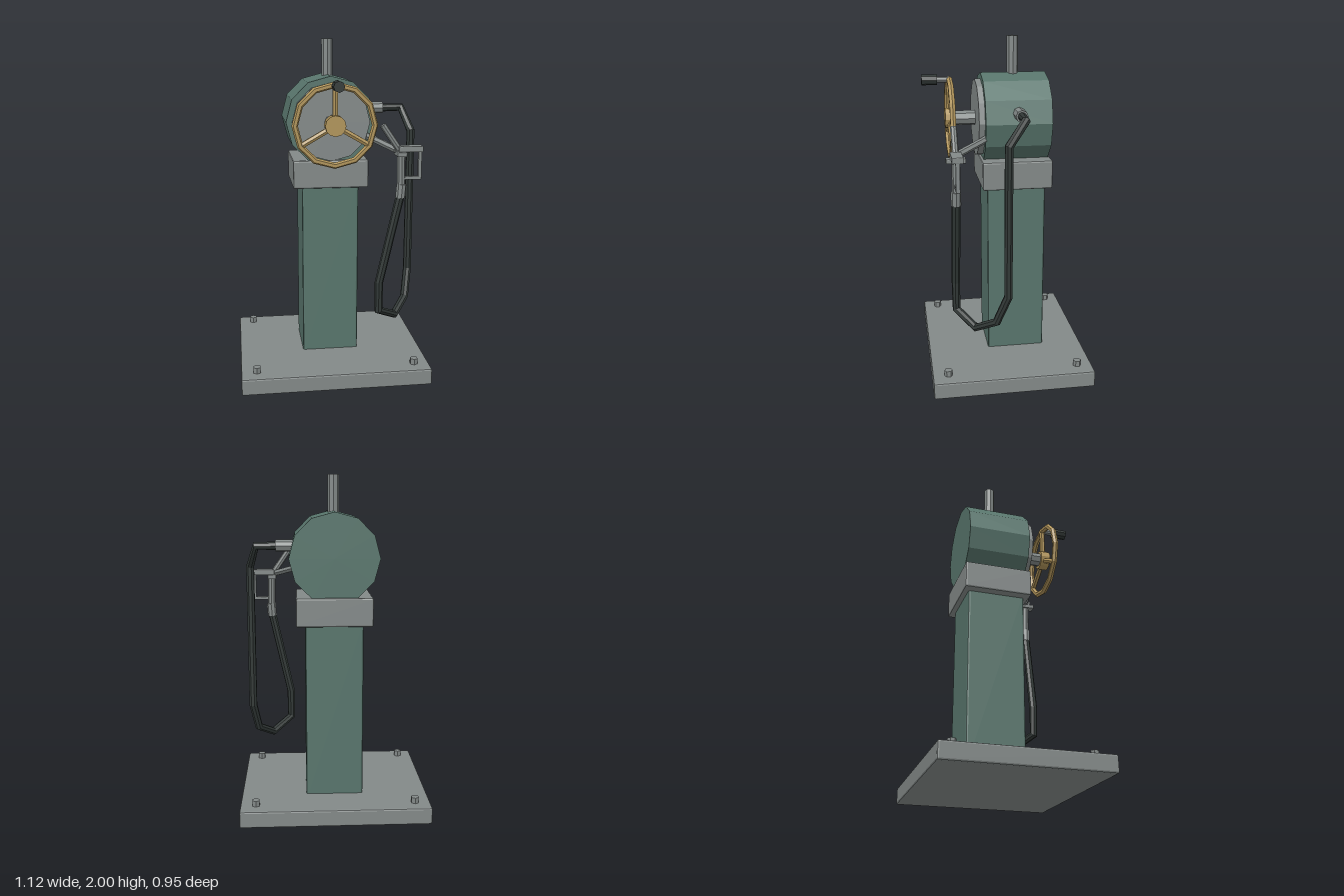
import * as THREE from 'three';
import { RoundedBoxGeometry } from 'three/addons/geometries/RoundedBoxGeometry.js';

const mat = (name, color) => {
  const m = new THREE.MeshStandardMaterial({ color, flatShading: true });
  m.name = name;
  return m;
};

// Polyline path: one tube section per corner, so bends stay crisp
class Polyline extends THREE.Curve {
  constructor(points) {
    super();
    this.points = points;
  }
  getPoint(t, target = new THREE.Vector3()) {
    const p = this.points, s = t * (p.length - 1);
    const i = Math.min(Math.floor(s + 1e-6), p.length - 2);
    return target.copy(p[i]).lerp(p[i + 1], s - i);
  }
  getPointAt(t, target) {
    return this.getPoint(t, target);
  }
  getTangentAt(t, target = new THREE.Vector3()) {
    const p = this.points, i = Math.round(t * (p.length - 1));
    const dir = (a, b) => p[b].clone().sub(p[a]).normalize();
    target.set(0, 0, 0);
    if (i > 0) target.add(dir(i - 1, i));
    if (i < p.length - 1) target.add(dir(i, i + 1));
    return target.normalize();
  }
}

export function createModel() {
  const model = new THREE.Group();
  model.name = 'pumpStand';
  const steel = mat('steel grey', 0x838988);
  const green = mat('painted green', 0x58756c);
  const brass = mat('brass', 0xb0945a);
  const rubber = mat('black rubber', 0x313836);

  const add = (name, geometry, material, x = 0, y = 0, z = 0, parent = model) => {
    const mesh = new THREE.Mesh(geometry, material);
    mesh.name = name;
    mesh.position.set(x, y, z);
    parent.add(mesh);
    return mesh;
  };
  const block = (name, size, pos, material, bevel = 0.008, parent = model) =>
    add(name, new RoundedBoxGeometry(...size, 1, bevel), material, ...pos, parent);
  // Straight round bar between two points
  const rod = (name, a, b, r, sides, material, parent = model) => {
    const A = new THREE.Vector3(...a), B = new THREE.Vector3(...b);
    const d = B.clone().sub(A);
    const mesh = add(name, new THREE.CylinderGeometry(r, r, d.length(), sides), material,
      ...A.add(B).multiplyScalar(0.5).toArray(), parent);
    mesh.quaternion.setFromUnitVectors(new THREE.Vector3(0, 1, 0), d.normalize());
    return mesh;
  };

  const cy = 1.53, cz = -0.063; // drum axis height, column centre

  // Base, column and cap
  block('basePlate', [1.12, 0.1, 0.95], [0, 0.053, 0], steel, 0.01);
  for (const x of [-0.468, 0.468])
    for (const z of [-0.384, 0.384])
      add('baseBolt', new THREE.CylinderGeometry(0.024, 0.024, 0.045, 6), steel, x, 0.115, z);
  block('column', [0.34, 1.06, 0.345], [0, 0.62, cz], green, 0.012);
  block('columnCap', [0.447, 0.168, 0.41], [0, 1.222, cz], steel, 0.01);

  // Drum with front cover and top pipe
  rod('drum', [0, cy, -0.255], [0, cy, 0.126], 0.262, 12, green);
  rod('frontCover', [0, cy, 0.12], [0, cy, 0.16], 0.226, 12, steel);
  rod('topPipe', [0, 1.74, cz], [0, 2, cz], 0.033, 8, steel);

  // Hand wheel
  const wheel = new THREE.Group();
  wheel.name = 'handWheel';
  wheel.position.set(0, cy, 0.307);
  model.add(wheel);
  rod('wheelShaft', [0, 0, -0.16], [0, 0, 0], 0.043, 8, steel, wheel);
  rod('wheelHub', [0, 0, -0.03], [0, 0, 0.029], 0.059, 12, brass, wheel);
  add('wheelRim', new THREE.TorusGeometry(0.226, 0.018, 6, 12), brass, 0, 0, 0, wheel);
  for (let i = 0; i < 3; i++) {
    const a = Math.PI / 2 + (i * Math.PI * 2) / 3;
    rod('wheelSpoke', [0, 0, 0], [0.222 * Math.cos(a), 0.222 * Math.sin(a), 0], 0.017, 6, brass, wheel);
  }
  rod('crankPin', [0, 0.225, 0], [0, 0.225, 0.1], 0.018, 8, steel, wheel);
  rod('crankGrip', [0, 0.225, 0.07], [0, 0.225, 0.16], 0.031, 8, rubber, wheel);

  // Hose and its fittings
  rod('hoseOutlet', [0.2, 1.59, cz], [0.34, 1.59, cz], 0.035, 8, steel);
  const hosePath = new Polyline([
    [0.32, 1.59, cz], [0.455, 1.59, cz], [0.497, 1.46, 0.035], [0.497, 0.59, 0.037],
    [0.468, 0.425, 0.1], [0.38, 0.353, 0.21], [0.262, 0.425, 0.312], [0.262, 0.6, 0.313],
    [0.382, 1.14, 0.313],
  ].map(p => new THREE.Vector3(...p)));
  add('hose', new THREE.TubeGeometry(hosePath, hosePath.points.length - 1, 0.025, 8), rubber);
  rod('hoseCollar', [0.378, 1.11, 0.313], [0.384, 1.19, 0.313], 0.029, 8, steel);

  // Nozzle with trigger guard
  const nozzle = new THREE.Group();
  nozzle.name = 'nozzle';
  nozzle.position.set(0.378, 0, 0.31);
  model.add(nozzle);
  rod('nozzleGrip', [0.004, 1.17, 0], [0, 1.39, 0], 0.024, 8, steel, nozzle);
  block('nozzleBody', [0.14, 0.034, 0.064], [0.052, 1.394, 0], steel, 0.004, nozzle);
  rod('nozzleSpout', [-0.012, 1.39, 0], [-0.108, 1.53, 0], 0.019, 8, steel, nozzle);
  block('guardFront', [0.02, 0.18, 0.024], [0.11, 1.305, 0], steel, 0.004, nozzle);
  block('guardBottom', [0.11, 0.02, 0.024], [0.064, 1.225, 0], steel, 0.004, nozzle);

  // Cradle that holds the nozzle
  rod('cradleArm', [0.2, 1.45, 0.1], [0.35, 1.388, 0.305], 0.02, 6, steel);
  block('cradlePlate', [0.054, 0.026, 0.11], [0.375, 1.367, 0.31], steel, 0.004);

  return model;
}
